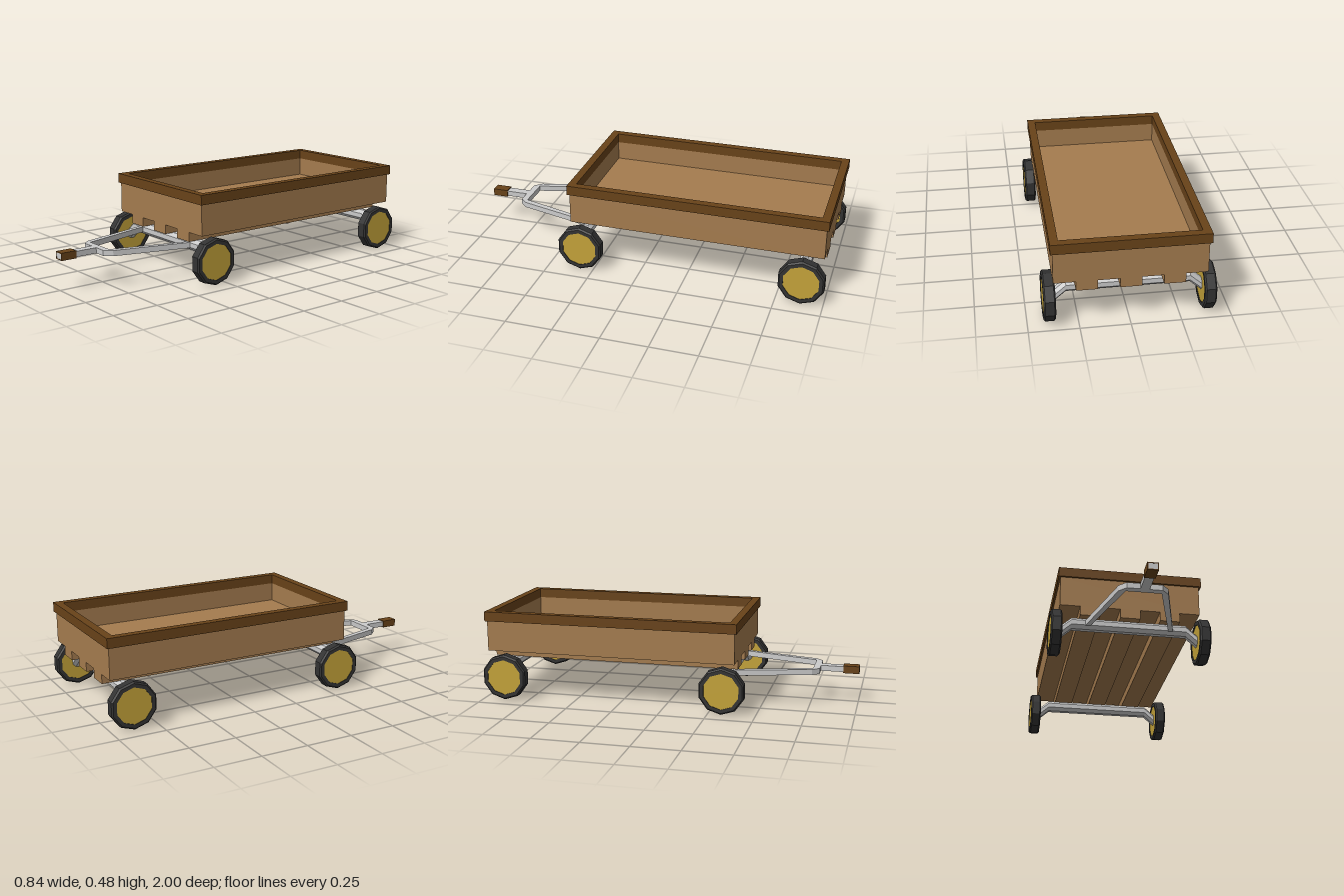
import * as THREE from 'three';

const paint = (color) => new THREE.MeshStandardMaterial({ color, flatShading: true });

export function createModel() {
  const wagon = new THREE.Group();
  wagon.name = 'wagon';
  const wood = paint(0xa57c4f), darkWood = paint(0x694319), metal = paint(0xcccccc);
  const rubber = paint(0x333333), yellow = paint(0xc4a33a);

  const add = (name, geometry, material, x = 0, y = 0, z = 0, parent = wagon) => {
    const mesh = new THREE.Mesh(geometry, material);
    mesh.name = name;
    mesh.position.set(x, y, z);
    parent.add(mesh);
    return mesh;
  };
  const polygon = (points) => points.map(([x, y]) => new THREE.Vector2(x, y));
  const rectangle = (w, d) => polygon([[-w, -d], [w, -d], [w, d], [-w, d]]);

  // Rectangular frame lying flat: half sizes outside and inside, height upwards
  const frame = (w, d, innerW, innerD, height) => {
    const shape = new THREE.Shape(rectangle(w, d));
    shape.holes.push(new THREE.Path(rectangle(innerW, innerD)));
    return new THREE.ExtrudeGeometry(shape, { depth: height, bevelEnabled: false }).rotateX(-Math.PI / 2);
  };

  // Cargo box
  const midZ = -0.302;
  add('boxWalls', frame(0.374, 0.684, 0.343, 0.653, 0.165), wood, 0, 0.26, midZ);
  add('boxFloor', new THREE.BoxGeometry(0.686, 0.062, 1.306), wood, 0, 0.291, midZ);
  add('boxRim', frame(0.385, 0.695, 0.343, 0.653, 0.052), darkWood, 0, 0.425, midZ);
  for (const x of [-0.213, 0, 0.213]) {
    add('floorRunner', new THREE.BoxGeometry(0.106, 0.052, 1.368), wood, x, 0.236, midZ);
  }

  // Octagonal axle bar whose ends drop to the wheel centres
  const axleGeometry = new THREE.CylinderGeometry(0.0335, 0.0335, 1, 8, 3);
  axleGeometry.rotateY(Math.PI / 8).rotateZ(Math.PI / 2);
  const p = axleGeometry.attributes.position;
  for (let i = 0; i < p.count; i++) {
    const x = p.getX(i), end = Math.abs(x) > 0.3;
    p.setX(i, Math.sign(x) * (end ? 0.372 : 0.306));
    if (end) p.setY(i, p.getY(i) - 0.058);
  }

  // Ten-sided tyre with chamfered edges, and its slightly recessed hub
  const tyreGeometry = new THREE.LatheGeometry(polygon([
    [0.097, -0.0295], [0.117, -0.0295], [0.125, -0.022], [0.125, 0.022],
    [0.117, 0.0295], [0.097, 0.0295], [0.097, -0.0295],
  ]), 10, Math.PI / 2).rotateZ(Math.PI / 2);
  const hubGeometry = new THREE.CylinderGeometry(0.098, 0.098, 0.052, 10, 1, false, Math.PI / 2)
    .rotateZ(Math.PI / 2);

  for (const [end, z] of [['front', 0.321], ['rear', -0.881]]) {
    add(end + 'Axle', axleGeometry, metal, 0, 0.181, z);
    for (const side of [1, -1]) {
      const wheel = new THREE.Group();
      wheel.name = end + (side > 0 ? 'Left' : 'Right') + 'Wheel';
      wheel.position.set(side * 0.3915, 0.125, z);
      add('tyre', tyreGeometry, rubber, 0, 0, 0, wheel);
      add('hub', hubGeometry, yellow, 0, 0, 0, wheel);
      wagon.add(wheel);
    }
  }

  // Forked drawbar, drawn from above as one flat outline (x, z)
  const outer = [[0.24, 0.325], [0.125, 0.757], [0.09, 0.795]];
  const inner = [[0.09, 0.76], [0.215, 0.325]];
  const half = [...outer.slice().reverse(), ...inner.slice().reverse()];
  half.splice(1, 4, outer[1], outer[0], inner[1], inner[0]);
  const mirrored = half.map(([x, z]) => [-x, z]).reverse();
  const fork = new THREE.ExtrudeGeometry(new THREE.Shape(polygon([...half, ...mirrored])),
    { depth: 0.03, bevelEnabled: false }).rotateX(Math.PI / 2);
  add('drawbarFork', fork, metal, 0, 0.196, 0);
  add('drawbarStem', new THREE.BoxGeometry(0.046, 0.03, 0.22), metal, 0, 0.181, 0.889);

  // Handle sleeve around the end of the stem
  const sleeve = frame(0.028, 0.02, 0.023, 0.015, 0.085).rotateX(Math.PI / 2);
  add('handleSleeve', sleeve, darkWood, 0, 0.181, 0.915);
  return wagon;
}
